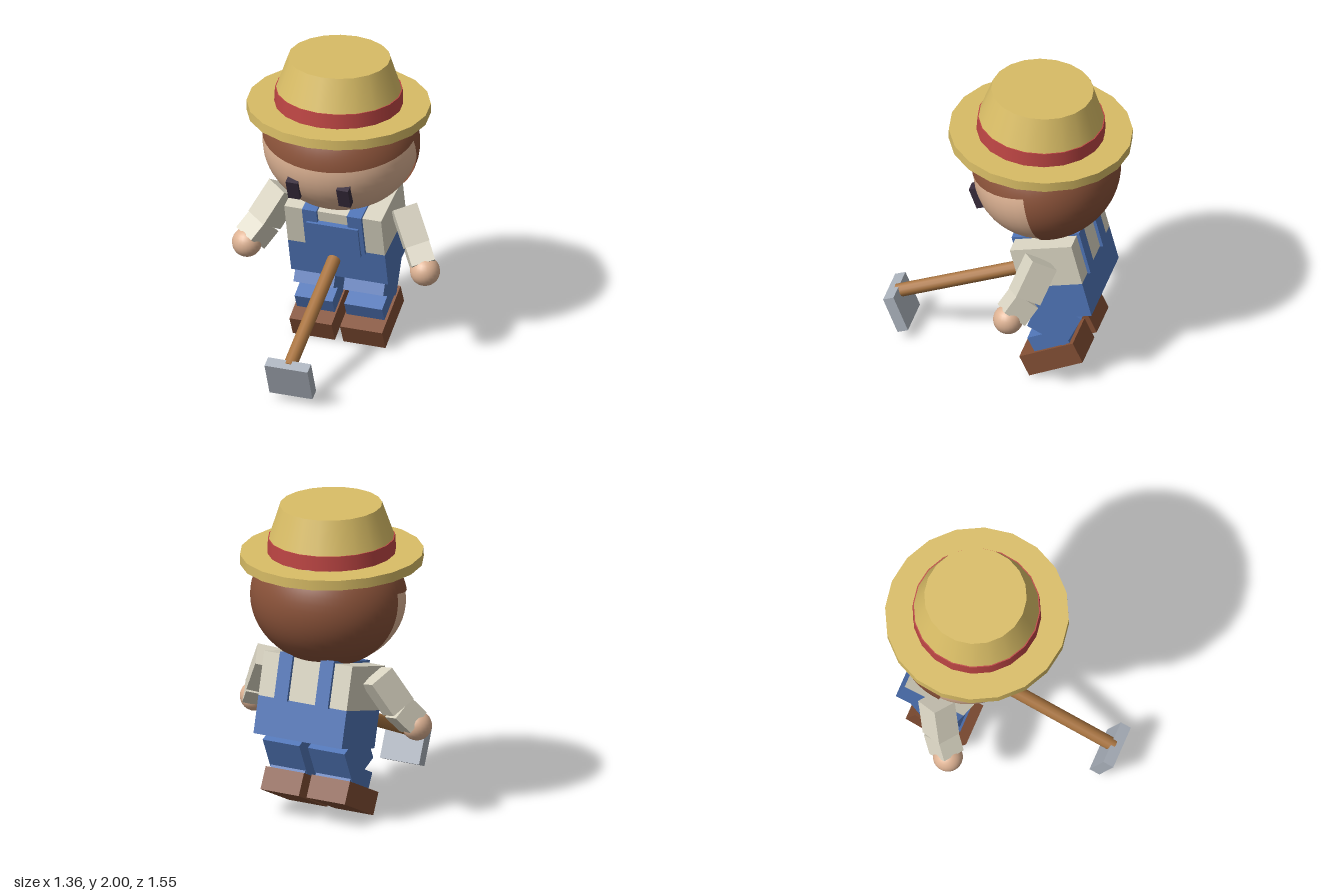
import * as THREE from 'three';

const mat = (name, color, side = THREE.FrontSide) => {
  const m = new THREE.MeshStandardMaterial({ color, side });
  m.name = name;
  return m;
};

export function createModel() {
  const model = new THREE.Group();
  model.name = 'farmer';

  const straw = mat('straw', 0xd9bd66);
  const red = mat('bandRed', 0xbf4644);
  const hairBrown = mat('hairBrown', 0x8a5239, THREE.DoubleSide);
  const skin = mat('skin', 0xdeb394);
  const eyeDark = mat('eyeDark', 0x382c3c);
  const cloth = mat('shirtCream', 0xd8d3c1);
  const denim = mat('denim', 0x4f74b6);
  const leather = mat('shoeBrown', 0x824e34);
  const wood = mat('wood', 0xaa7541);
  const metal = mat('metal', 0xaab1bb);

  const add = (parent, name, geo, material, x = 0, y = 0, z = 0, rx = 0) => {
    const m = new THREE.Mesh(geo, material);
    m.name = name;
    m.position.set(x, y, z);
    m.rotation.x = rx;
    parent.add(m);
    return m;
  };
  const box = (w, h, d) => new THREE.BoxGeometry(w, h, d);
  const group = (name, y, z, rx) => {
    const g = new THREE.Group();
    g.name = name;
    g.position.set(0, y, z);
    g.rotation.x = rx;
    model.add(g);
    return g;
  };

  // Head: ellipsoid face, with a slightly larger hair shell over the top and back
  const head = group('head', 1.395, -0.24, 0.187);
  const ball = (name, material, s, ...arc) => {
    const geo = new THREE.SphereGeometry(1, 40, 28, ...arc);
    geo.scale(0.49 * s, 0.42 * s, 0.455 * s);
    return add(head, name, geo, material);
  };
  ball('face', skin, 1);
  ball('hairTop', hairBrown, 1.02, 0, Math.PI * 2, 0, 1.355);
  ball('hairBack', hairBrown, 1.02, Math.PI, Math.PI);

  // Straw hat
  const hat = group('hat', 1.652, -0.203, -0.033);
  const cyl = (top, bottom, h) => new THREE.CylinderGeometry(top, bottom, h, 20);
  add(hat, 'hatBrim', cyl(0.574, 0.574, 0.064), straw);
  add(hat, 'hatBand', cyl(0.398, 0.402, 0.1), red, 0, 0.078);
  add(hat, 'hatCrown', cyl(0.32, 0.394, 0.22), straw, 0, 0.23);

  // Torso leaning forward, local origin at the middle of its underside
  const torso = group('torso', 0.5, -0.42, 0.253);
  add(torso, 'overallsWaist', box(0.64, 0.24, 0.41), denim, 0, 0.12);
  add(torso, 'shirt', box(0.64, 0.28, 0.41), cloth, 0, 0.38);
  add(torso, 'bib', box(0.34, 0.225, 0.04), denim, 0, 0.332, 0.22);

  // Basis-aligned box used for the arm segments
  const limb = (name, center, down, back, size, s) => {
    const mirror = v => new THREE.Vector3(v[0] * s, v[1], v[2]);
    const y = mirror(down).normalize();
    const z = mirror(back);
    z.addScaledVector(y, -z.dot(y)).normalize();
    const x = new THREE.Vector3().crossVectors(y, z);
    const m = add(model, name, box(...size), cloth);
    m.quaternion.setFromRotationMatrix(new THREE.Matrix4().makeBasis(x, y, z));
    m.position.copy(mirror(center));
  };

  for (const s of [1, -1]) {
    const side = s > 0 ? 'left' : 'right';

    // Eye
    add(model, side + 'Eye', box(0.078, 0.145, 0.05), eyeDark, s * 0.167, 1.225, 0.156, 0.36);

    // Overall strap: front, over the shoulder, and back
    const sx = s * 0.148;
    add(torso, side + 'StrapFront', box(0.095, 0.3, 0.02), denim, sx, 0.385, 0.215);
    add(torso, side + 'StrapTop', box(0.095, 0.016, 0.45), denim, sx, 0.527, 0);
    add(torso, side + 'StrapBack', box(0.095, 0.3, 0.02), denim, sx, 0.385, -0.215);

    // Arm and hand
    const back = [-0.064, -0.085, -0.138];
    limb(side + 'UpperArm', [0.447, 0.855, -0.275], [0.111, -0.207, 0.077], back, [0.157, 0.247, 0.174], s);
    limb(side + 'Forearm', [0.537, 0.698, -0.203], [0.085, -0.126, 0.083], back, [0.152, 0.14, 0.168], s);
    add(model, side + 'Hand', new THREE.SphereGeometry(0.094, 24, 16), skin, s * 0.588, 0.624, -0.154);

    // Bent leg and shoe
    add(model, side + 'Thigh', box(0.265, 0.253, 0.268), denim, s * 0.164, 0.435, -0.371, -0.436);
    add(model, side + 'Shin', box(0.25, 0.2, 0.25), denim, s * 0.164, 0.244, -0.352, 0.46);
    add(model, side + 'Shoe', box(0.278, 0.148, 0.382), leather, s * 0.167, 0.155, -0.353, 0.445);
  }

  // Hoe: handle sloping down to the front, with a flat blade across its end
  const from = new THREE.Vector3(0, 0.62, -0.115);
  const to = new THREE.Vector3(0, 0.267, 0.72);
  const handle = add(model, 'hoeHandle', new THREE.CylinderGeometry(0.043, 0.043, from.distanceTo(to), 12), wood);
  handle.position.copy(from).lerp(to, 0.5);
  handle.quaternion.setFromUnitVectors(new THREE.Vector3(0, 1, 0), from.clone().sub(to).normalize());
  add(model, 'hoeBlade', box(0.284, 0.25, 0.072), metal, 0, 0.183, 0.695, 0.385);

  return model;
}
